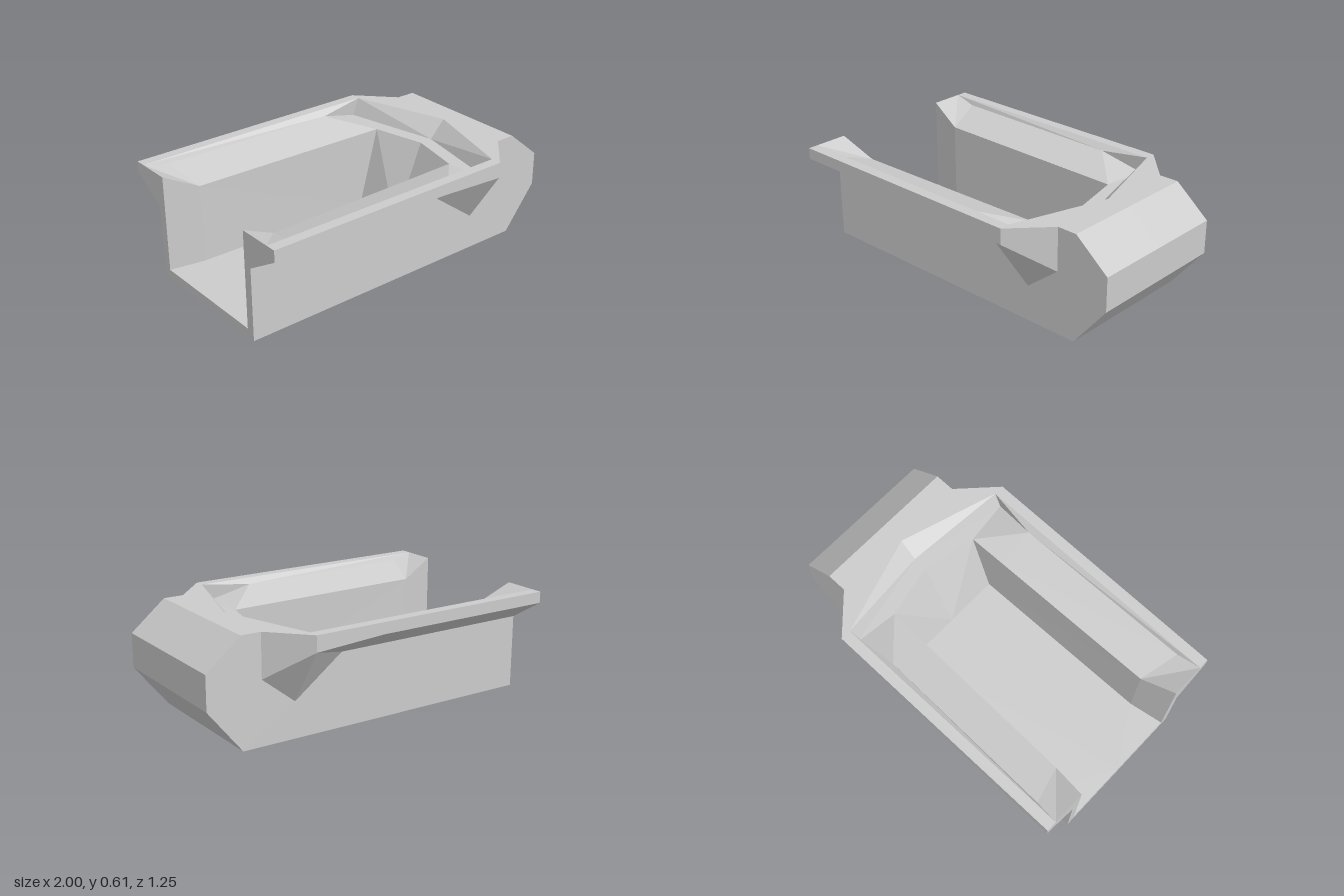
import * as THREE from 'three';

const material = new THREE.MeshStandardMaterial({ color: 0xcccccc, flatShading: true });

// Builds a faceted mesh from polygons of the z > 0 half, mirrored across z = 0.
// Corners run counter-clockwise seen from outside; each polygon fans from its first corner.
function mirroredMesh(name, polygons) {
  const pos = [];
  for (const poly of polygons) {
    for (let i = 1; i < poly.length - 1; i++) {
      const [a, b, c] = [poly[0], poly[i], poly[i + 1]];
      pos.push(...a, ...b, ...c);
      for (const [x, y, z] of [a, c, b]) pos.push(x, y, -z);
    }
  }
  const geometry = new THREE.BufferGeometry();
  geometry.setAttribute('position', new THREE.Float32BufferAttribute(pos, 3));
  geometry.computeVertexNormals();
  const mesh = new THREE.Mesh(geometry, material);
  mesh.name = name;
  return mesh;
}

// The same point moved onto the centre plane
const mid = ([x, y]) => [x, y, 0];

export function createModel() {
  const W = 0.42, F = 0.625, R = 0.565, TOP = 0.61, LIP = 0.51, FLOOR = 0.05;

  // Hull side and nose
  const a0 = [-1, 0, W], a1 = [0.8, 0, W], a2 = [0.8, TOP, W];
  const n1 = [1, 0.25, W], n2 = [1, 0.445, W];
  // Where the flare meets the hull side
  const k0 = [-1, 0.42, W], k1 = [0.2, 0.42, W], k2 = [0.49, 0.205, W];
  const k3 = [0.685, 0.205, W], k4 = [0.685, 0.36, W], k5 = [0.685, TOP, W];
  // Outer edge of the flare
  const e0 = [-1, 0.545, F], e1 = [0.2, 0.545, F], e2 = [0.49, 0.52, F];
  const t0 = [-1, TOP, F], t1 = [0.49, TOP, F];
  // Inner edge of the rim
  const r0 = [-1, TOP, R], r1 = [0.49, TOP, R], rc = [0.665, TOP, 0];
  // Upper edge of the sloped shelf
  const s0 = [-0.86, 0.58, 0.55], s1 = [0.2, 0.58, 0.53];
  const s2 = [0.45, LIP, R], sc = [0.57, LIP, 0];
  // Lip of the channel
  const l0 = [-1, TOP, 0.37], l1 = [-0.8, LIP, 0.335], l2 = [0.42, LIP, 0.31];
  const lm = [0.2, LIP, 0.315], lc = [0.49, LIP, 0];
  // Floor of the channel
  const f0 = [-1, FLOOR, 0.37], f1 = [-0.8, FLOOR, 0.335], f2 = [0.3, FLOOR, 0.315];

  const group = new THREE.Group();
  group.add(
    mirroredMesh('hull', [
      [a1, k3, k2, k1, k0, a0],
      [a1, n1, n2, a2, k5, k4, k3],
      [a0, mid(a0), mid(a1), a1],
    ]),
    mirroredMesh('nose', [[a1, n1], [n1, n2], [n2, a2]].map(([p, q]) => [p, mid(p), mid(q), q])),
    mirroredMesh('sideFlare', [
      [t0, e0, e1, e2, t1],
      [k0, k1, e1, e0],
      [k1, k2, e2, e1],
      [k2, k3, k4, e2],
      [e2, k4, k5, t1],
    ]),
    mirroredMesh('openEnd', [
      [mid(a0), a0, f0, mid(f0)],
      [a0, k0, l0, f0],
      [k0, e0, t0, l0],
    ]),
    mirroredMesh('rim', [
      [t0, t1, r1, r0],
      [rc, r1, t1, k5, a2, mid(a2)],
      [s1, s0, r0, r1, s2],
      [r1, rc, sc, s2],
    ]),
    mirroredMesh('slopedShelf', [
      [r0, s0, l1, l0],
      [s0, s1, lm, l1],
      [s1, s2, l2, lm],
      [s2, sc, lc, l2],
    ]),
    mirroredMesh('channel', [
      [f1, f0, l0, l1],
      [f2, f1, l1, lm, l2],
      [mid(f2), f2, l2, lc],
      [mid(f0), f0, f1, f2, mid(f2)],
    ]),
  );
  return group;
}
